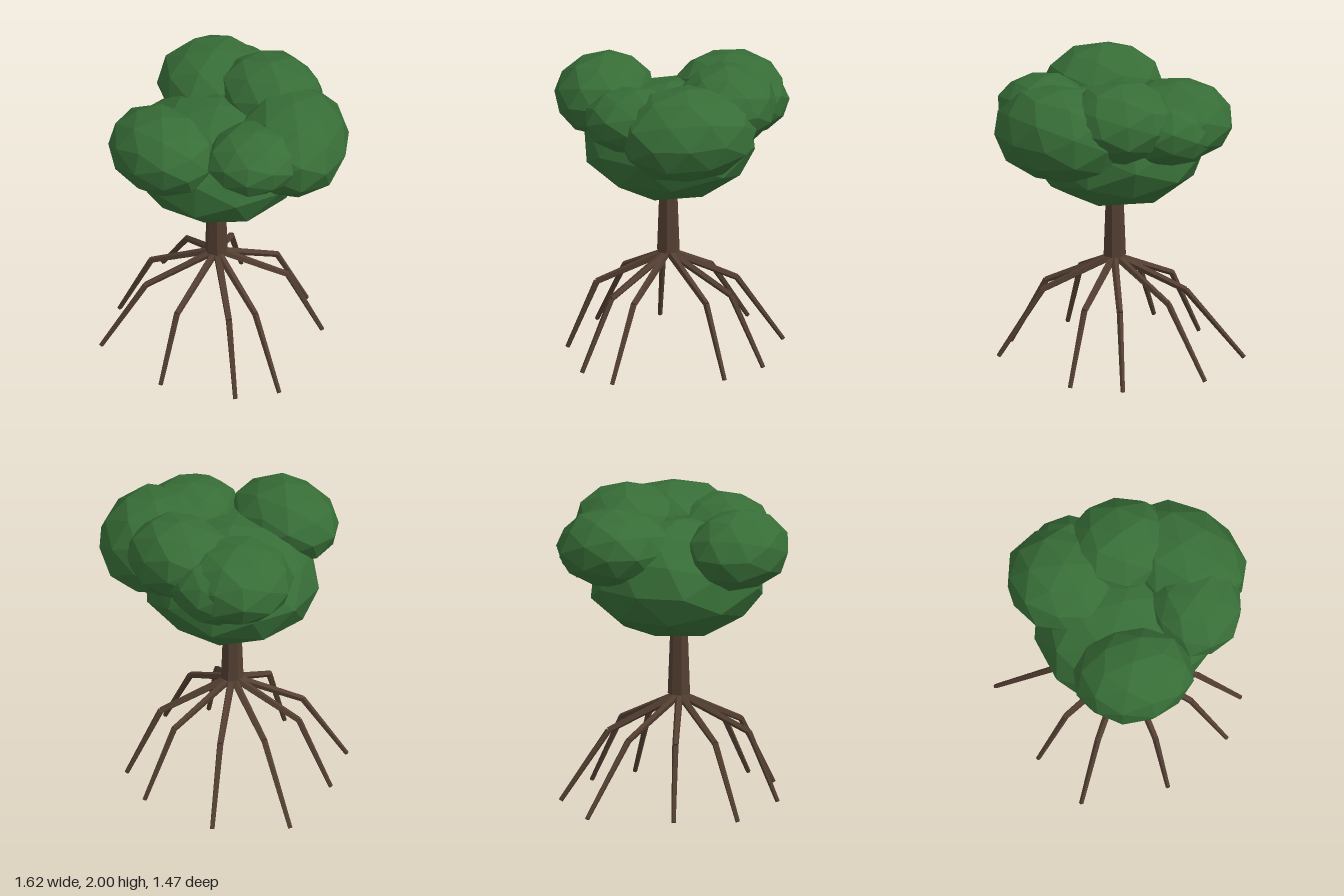
import * as THREE from 'three';

const foliage = new THREE.MeshStandardMaterial({ color: 0x376d37, flatShading: true });
foliage.name = 'leaf green';
const bark = new THREE.MeshStandardMaterial({ color: 0x543f32, flatShading: true });
bark.name = 'bark brown';

// Faceted leaf clump: icosphere with a slight repeatable bump, stretched to its radii, then yawed
function clump(name, [x, y, z], [rx, ry, rz], turn, seed, yaw = 0) {
  const geo = new THREE.IcosahedronGeometry(1, 1);
  geo.rotateY(turn);
  const p = geo.attributes.position;
  const v = new THREE.Vector3();
  for (let i = 0; i < p.count; i++) {
    v.fromBufferAttribute(p, i);
    const bump = 1.01 + 0.03 * Math.sin(v.x * 5 + seed) * Math.cos(v.z * 4 + v.y * 3 + seed * 2);
    p.setXYZ(i, v.x * rx * bump, v.y * ry * bump, v.z * rz * bump);
  }
  geo.computeVertexNormals();
  const mesh = new THREE.Mesh(geo, foliage);
  mesh.name = name;
  mesh.position.set(x, y, z);
  mesh.rotation.y = yaw;
  return mesh;
}

// Tapered limb between two points
function limb(name, a, b, ra, rb, sides) {
  const dir = b.clone().sub(a);
  const mesh = new THREE.Mesh(new THREE.CylinderGeometry(rb, ra, dir.length(), sides), bark);
  mesh.name = name;
  mesh.position.copy(a).addScaledVector(dir, 0.5);
  mesh.quaternion.setFromUnitVectors(new THREE.Vector3(0, 1, 0), dir.normalize());
  return mesh;
}

export function createModel() {
  const tree = new THREE.Group();
  tree.name = 'stiltRootTree';
  const cx = -0.015, cz = -0.012;

  // Trunk
  tree.add(limb('trunk', new THREE.Vector3(cx, 0.685, cz), new THREE.Vector3(cx, 1.4, cz), 0.074, 0.047, 7));

  // Stilt roots: each leaves the trunk base, bends at a knee and drops to the ground
  const feet = [
    [0.71, 0.11], [0.57, 0.36], [0.14, 0.61], [-0.42, 0.61], [-0.63, 0.26],
    [-0.8, -0.27], [-0.46, -0.63], [0.09, -0.69], [0.4, -0.54],
  ];
  const roots = new THREE.Group();
  roots.name = 'roots';
  for (const [fx, fz] of feet) {
    const reach = 0.455 / Math.hypot(fx - cx, fz - cz);
    const start = new THREE.Vector3(cx, 0.68, cz);
    const knee = new THREE.Vector3(cx + (fx - cx) * reach, 0.457, cz + (fz - cz) * reach);
    const foot = new THREE.Vector3(fx, 0.01, fz);
    roots.add(limb('upperRoot', start, knee, 0.026, 0.021, 5));
    roots.add(limb('lowerRoot', knee, foot, 0.021, 0.015, 5));
  }
  tree.add(roots);

  // Canopy
  const canopy = new THREE.Group();
  canopy.name = 'canopy';
  canopy.add(
    clump('mainClump', [-0.02, 1.44, -0.025], [0.575, 0.375, 0.56], 0, 1),
    clump('frontClump', [-0.045, 1.685, 0.43], [0.385, 0.255, 0.31], 0.2, 2),
    clump('rightBackClump', [-0.355, 1.685, -0.305], [0.365, 0.25, 0.36], 0.9, 3),
    clump('rightRearClump', [-0.28, 1.66, -0.44], [0.29, 0.22, 0.27], 0.4, 7),
    clump('backClump', [0.045, 1.74, -0.42], [0.36, 0.255, 0.32], 0.5, 4),
    clump('leftBackClump', [0.405, 1.645, -0.29], [0.45, 0.3, 0.355], 1.3, 5, -0.85),
    clump('leftFrontClump', [0.43, 1.7, 0.06], [0.3, 0.2, 0.325], 0.7, 6),
  );
  tree.add(canopy);
  return tree;
}
